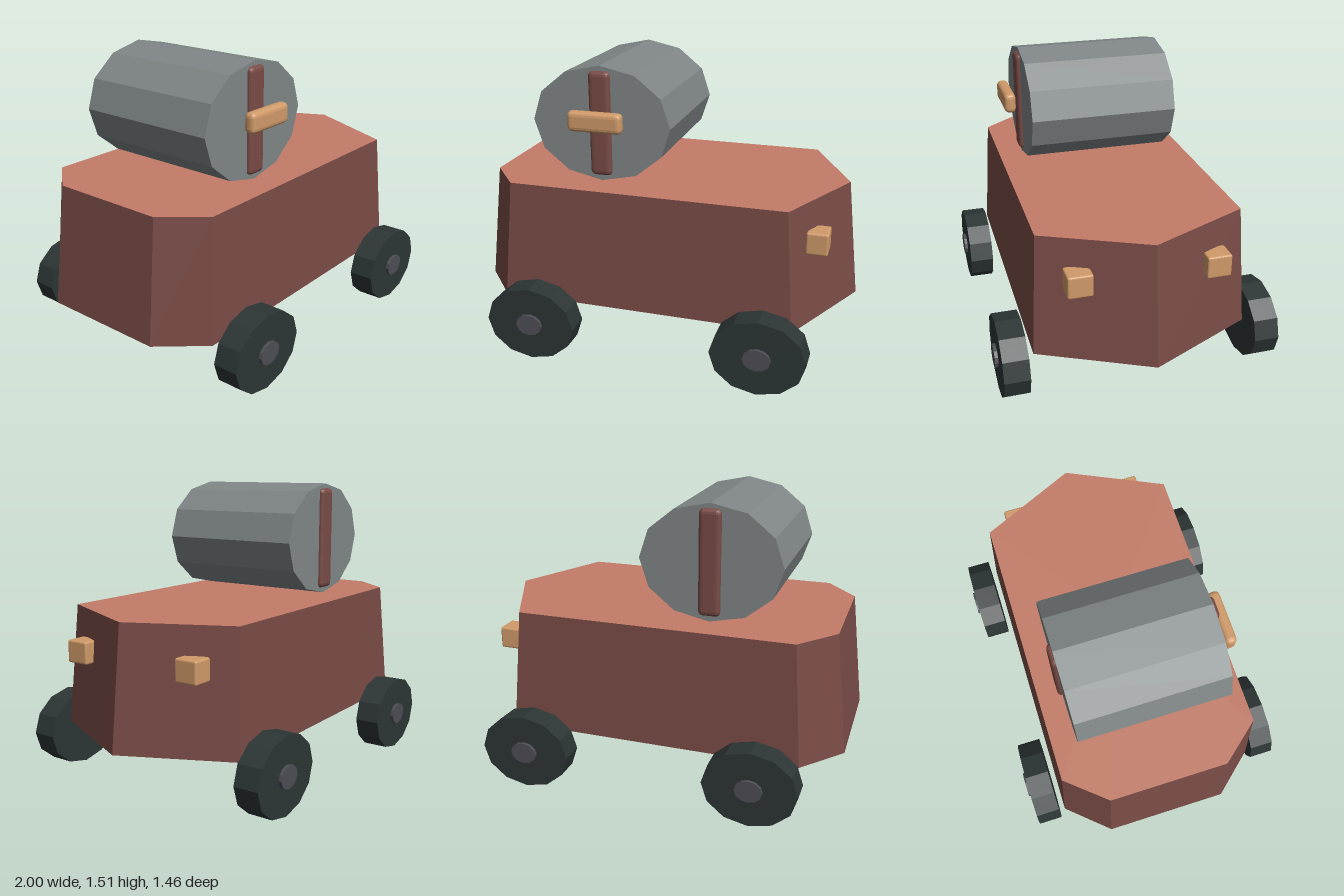
import * as THREE from 'three';
import { RoundedBoxGeometry } from 'three/addons/geometries/RoundedBoxGeometry.js';

const material = (name, color) => {
  const m = new THREE.MeshStandardMaterial({ color, flatShading: true });
  m.name = name;
  return m;
};

export function createModel() {
  const model = new THREE.Group();
  const wall = material('dark red walls', 0x794b46);
  const deck = material('terracotta deck', 0xc47c68);
  const steel = material('grey steel', 0x808687);
  const rubber = material('dark rubber', 0x2d3535);
  const hubGrey = material('hub grey', 0x4d4d55);
  const tan = material('tan', 0xd09a69);

  const add = (name, geometry, mat, x = 0, y = 0, z = 0) => {
    const mesh = new THREE.Mesh(geometry, mat);
    mesh.name = name;
    mesh.position.set(x, y, z);
    model.add(mesh);
    return mesh;
  };
  const box = (name, mat, w, h, d, bevel, x, y, z) =>
    add(name, new RoundedBoxGeometry(w, h, d, 2, bevel), mat, x, y, z);
  // Twelve-sided drum along z, squashed into an ellipse
  const drum = (name, mat, rx, ry, depth, x, y, z) => {
    const geometry = new THREE.CylinderGeometry(1, 1, depth, 12);
    geometry.rotateX(Math.PI / 2).scale(rx, ry, 1);
    return add(name, geometry, mat, x, y, z);
  };

  // Hull: pointed nose at +x, chamfered tail, tapering upward
  const lower = [[-1, 0.33], [-0.81, 0.55], [0.735, 0.55], [1, 0],
    [0.735, -0.55], [-0.81, -0.55], [-1, -0.33]];
  const upper = [[-0.93, 0.31], [-0.76, 0.515], [0.69, 0.515], [0.93, 0],
    [0.69, -0.515], [-0.76, -0.515], [-0.93, -0.31]];
  const y0 = 0.272, y1 = 0.897;
  const sides = [], top = [], bottom = [];
  const point = ([x, z], y) => [x, y, z];
  for (let i = 0; i < lower.length; i++) {
    const j = (i + 1) % lower.length;
    const a = point(lower[i], y0), b = point(lower[j], y0);
    const c = point(upper[j], y1), d = point(upper[i], y1);
    sides.push(...a, ...b, ...c, ...a, ...c, ...d);
    top.push(...d, ...c, 0, y1, 0);
    bottom.push(...b, ...a, 0, y0, 0);
  }
  const surface = (points) => {
    const g = new THREE.BufferGeometry();
    g.setAttribute('position', new THREE.Float32BufferAttribute(points, 3));
    g.computeVertexNormals();
    return g;
  };
  add('hullWalls', surface(sides), wall);
  add('hullDeck', surface(top), deck);
  add('hullFloor', surface(bottom), deck);

  // Tank with a strap running through it and a handle in front
  drum('tank', steel, 0.367, 0.298, 0.775, -0.298, 1.213, 0);
  box('tankStrap', wall, 0.115, 0.54, 0.82, 0.025, -0.298, 1.215, 0);
  box('tankHandle', tan, 0.285, 0.105, 0.062, 0.025, -0.298, 1.243, 0.461);

  // Wheels, hubs and headlights, mirrored front to back
  for (const s of [1, -1]) {
    for (const x of [-0.6, 0.6]) {
      drum('wheel', rubber, 0.24, 0.198, 0.13, x, 0.2, s * 0.648);
      drum('hub', hubGrey, 0.07, 0.057, 0.14, x, 0.2, s * 0.66);
    }
    box('headlight', tan, 0.11, 0.115, 0.125, 0.01, 0.82, 0.697, s * 0.342);
  }
  return model;
}
